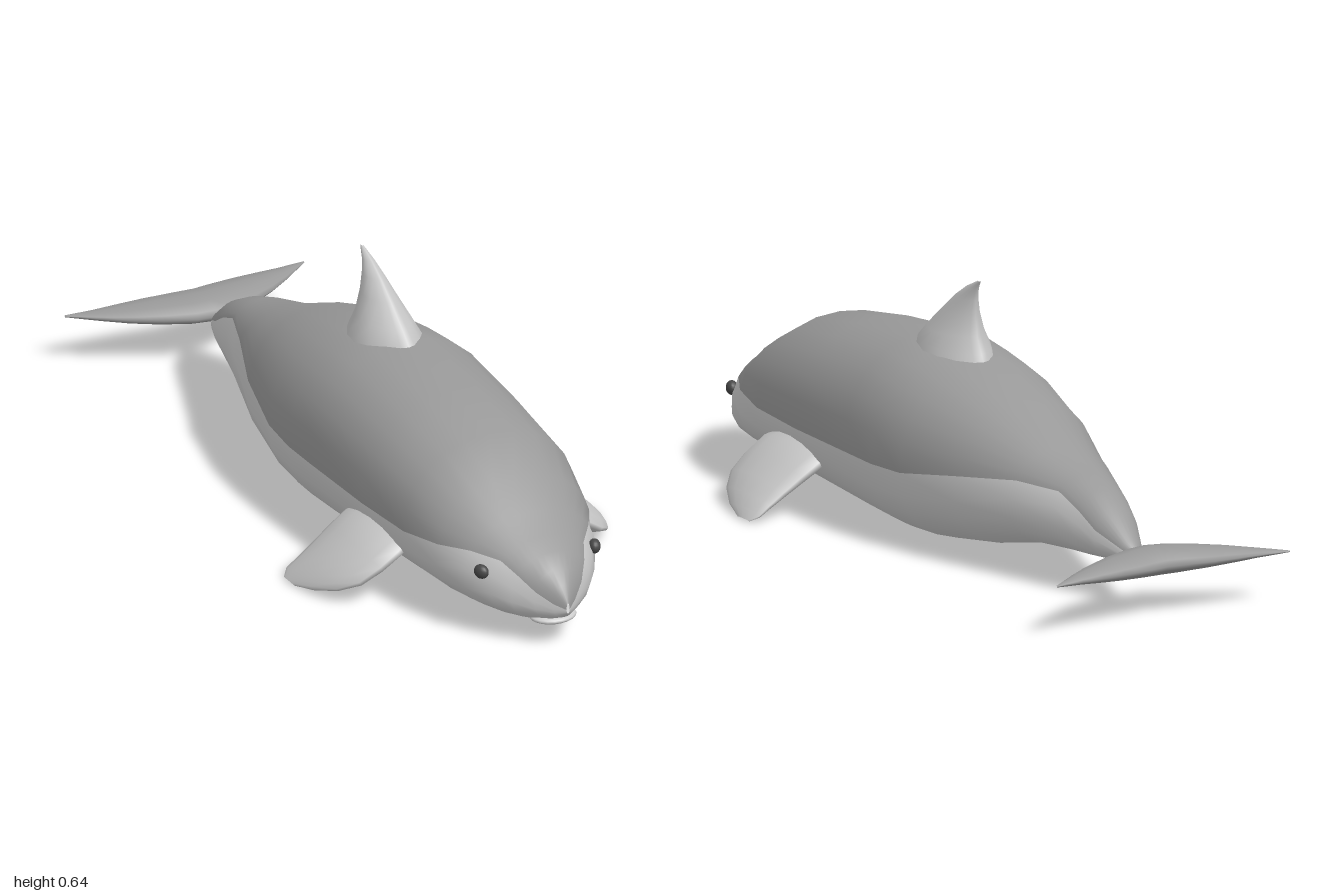
import * as THREE from 'three';

const paint = (name, color) => {
  const m = new THREE.MeshStandardMaterial({ color });
  m.name = name;
  return m;
};

// Skin a list of closed rings; split = number of segments in the first colour group.
function loft(rings, split = 0) {
  const n = rings[0].length;
  const pos = rings.flat(2);
  const first = [], second = [];
  for (let i = 0; i < rings.length - 1; i++) {
    for (let j = 0; j < n; j++) {
      const k = (j + 1) % n;
      const a = i * n + j, b = i * n + k, c = a + n, d = b + n;
      (j < split ? first : second).push(a, b, d, a, d, c);
    }
  }
  const g = new THREE.BufferGeometry();
  g.setAttribute('position', new THREE.Float32BufferAttribute(pos, 3));
  g.setIndex([...first, ...second]);
  if (split) {
    g.addGroup(0, first.length, 0);
    g.addGroup(first.length, second.length, 1);
  }
  g.computeVertexNormals();
  return g;
}

const pow = (v, e) => Math.sign(v) * Math.abs(v) ** e;
const angles = (n) => Array.from({ length: n }, (_, i) => (i / n) * Math.PI * 2);

// z, top, bottom, half width, height of the colour border; tail to nose
const BODY = [
  [-0.825, 0.135, 0.12, 0.008, 0.128],
  [-0.8, 0.16, 0.105, 0.03, 0.14],
  [-0.725, 0.22, 0.098, 0.062, 0.175],
  [-0.66, 0.255, 0.093, 0.083, 0.215],
  [-0.59, 0.28, 0.09, 0.105, 0.245],
  [-0.465, 0.315, 0.08, 0.145, 0.25],
  [-0.29, 0.39, 0.04, 0.2, 0.23],
  [-0.1, 0.442, 0.01, 0.24, 0.2],
  [0.02, 0.462, 0.005, 0.251, 0.197],
  [0.14, 0.474, 0.012, 0.253, 0.2],
  [0.39, 0.448, 0.03, 0.246, 0.2],
  [0.59, 0.415, 0.045, 0.235, 0.205],
  [0.715, 0.348, 0.05, 0.212, 0.217],
  [0.8, 0.293, 0.052, 0.182, 0.225],
  [0.865, 0.255, 0.055, 0.143, 0.215],
  [0.91, 0.232, 0.06, 0.108, 0.19],
  [0.95, 0.205, 0.073, 0.066, 0.155],
  [0.98, 0.172, 0.087, 0.03, 0.128],
  [1.0, 0.132, 0.105, 0.004, 0.115],
];

function bodyRing([z, top, bottom, w, border]) {
  const mid = bottom + (top - bottom) * 0.43;
  const t = border - mid;
  const a0 = t > 0
    ? Math.asin((t / (top - mid)) ** (1 / 0.92))
    : -Math.asin((-t / (mid - bottom)) ** (1 / 0.85));
  const ring = [], half = 12;
  for (let j = 0; j < half * 2; j++) {
    const a = j < half
      ? a0 + (Math.PI - 2 * a0) * (j / half)
      : Math.PI - a0 + (Math.PI + 2 * a0) * (j / half - 1);
    const s = Math.sin(a), e = s > 0 ? 0.92 : 0.85;
    ring.push([w * pow(Math.cos(a), e), mid + pow(s, e) * (s > 0 ? top - mid : mid - bottom), z]);
  }
  return ring;
}

// x, y, front z, back z, half thickness; root to tip
const FLIPPER = [
  [0.18, 0.155, 0.54, 0.3, 0.04],
  [0.23, 0.132, 0.565, 0.285, 0.044],
  [0.28, 0.1, 0.565, 0.288, 0.04],
  [0.33, 0.066, 0.55, 0.293, 0.033],
  [0.37, 0.04, 0.505, 0.295, 0.022],
  [0.4, 0.02, 0.44, 0.295, 0.011],
  [0.418, 0.007, 0.37, 0.315, 0.003],
];

function flipper(side) {
  const rings = FLIPPER.map(([x, y, zf, zb, t]) => angles(14).map((a) => {
    const p = t * pow(Math.cos(a), 1.2);
    return [side * (x + p * 0.6), y + p * 0.8, (zf + zb) / 2 + Math.sin(a) * (zf - zb) / 2];
  }));
  if (side < 0) rings.reverse();
  return loft(rings);
}

// y, front z, back z, half width; base to tip
const DORSAL = [
  [0.42, 0.2, -0.105, 0.092],
  [0.46, 0.185, -0.085, 0.084],
  [0.5, 0.143, -0.064, 0.064],
  [0.55, 0.082, -0.056, 0.041],
  [0.59, 0.03, -0.057, 0.025],
  [0.62, -0.018, -0.065, 0.013],
  [0.643, -0.068, -0.08, 0.003],
];

function dorsalFin() {
  return loft(DORSAL.map(([y, zf, zb, w]) => angles(16).map((a) => [
    w * pow(Math.sin(a), 1.5), y, (zf + zb) / 2 + Math.cos(a) * (zf - zb) / 2,
  ])));
}

// x, front z, back z, half thickness; centre to tip
const FLUKE = [
  [0, -0.822, -0.974, 0.035],
  [0.05, -0.828, -0.981, 0.033],
  [0.125, -0.858, -0.988, 0.027],
  [0.19, -0.893, -0.991, 0.02],
  [0.25, -0.934, -0.993, 0.012],
  [0.3, -0.973, -0.997, 0.006],
  [0.328, -0.994, -1.0, 0.002],
];

function tailFluke() {
  const left = FLUKE.slice(1).reverse().map(([x, ...r]) => [-x, ...r]);
  return loft([...left, ...FLUKE].map(([x, zf, zb, t]) => angles(12).map((a) => [
    x, 0.133 + t * pow(Math.cos(a), 1.4), (zf + zb) / 2 + Math.sin(a) * (zf - zb) / 2,
  ])));
}

export function createModel() {
  const model = new THREE.Group();
  model.name = 'porpoise';
  const back = paint('back grey', 0x999999);
  const belly = paint('belly pale grey', 0xcccccc);
  const fin = paint('fin pale grey', 0xc6c6c6);
  const eye = paint('eye dark grey', 0x484848);

  const add = (name, geometry, material) => {
    const mesh = new THREE.Mesh(geometry, material);
    mesh.name = name;
    model.add(mesh);
    return mesh;
  };

  add('body', loft(BODY.map(bodyRing), 12), [back, belly]);

  // Lower lip set slightly behind the snout
  const jaw = add('lowerJaw', new THREE.SphereGeometry(1, 20, 12), belly);
  jaw.scale.set(0.06, 0.014, 0.05);
  jaw.position.set(0, 0.07, 0.92);

  add('dorsalFin', dorsalFin(), fin);
  add('tailFluke', tailFluke(), back);

  for (const [side, label] of [[1, 'left'], [-1, 'right']]) {
    add(label + 'Flipper', flipper(side), fin);
    const ball = add(label + 'Eye', new THREE.SphereGeometry(1, 16, 12), eye);
    ball.scale.set(0.015, 0.018, 0.02);
    ball.position.set(side * 0.155, 0.186, 0.843);
    ball.rotation.y = side * -0.4;
  }
  return model;
}
